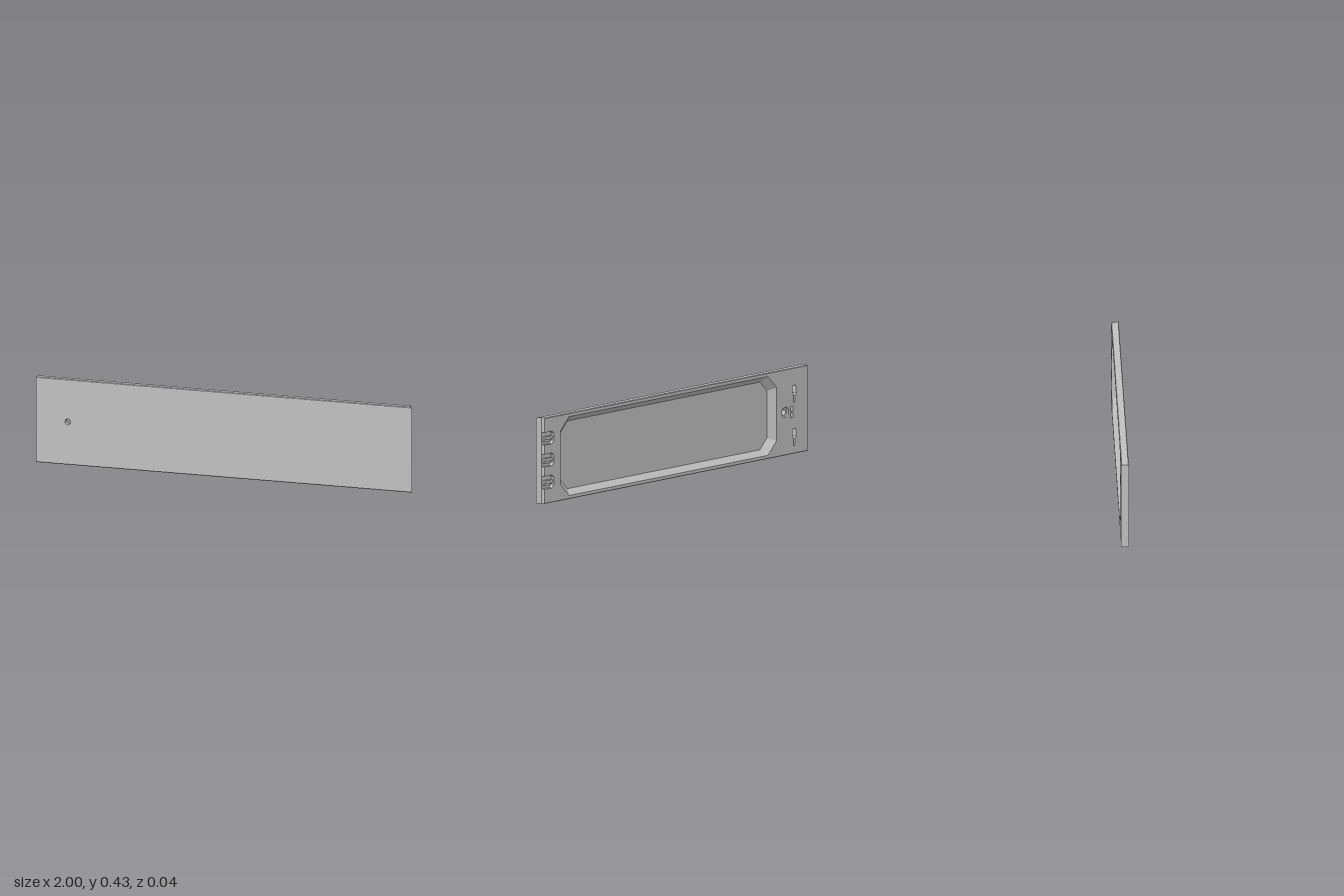
import * as THREE from 'three';

const H = 0.434, BACK = -0.019, FRONT = 0.019, STEP = 0, END = 0.98;
const NOTCHES = [[0.074, 0.139], [0.186, 0.25], [0.297, 0.36]];

const v2 = (list) => list.map(([x, y]) => new THREE.Vector2(x, y));

// Open notch in the left end, listed from bottom to top
const notch = ([y0, y1]) => [[END, y0], [0.925, y0], [0.91, y0 + 0.015], [0.91, y1 - 0.012], [0.922, y1], [END, y1]];

// Panel outlines, counter-clockwise seen from the front
const rect = (x0, y0, x1, y1) => v2([[x0, y0], [x1, y0], [x1, y1], [x0, y1]]);
const panel = (x1, inset) => rect(-1, inset, x1, H - inset);
const notched = (inset) => v2([[-1, inset], [END, inset], ...NOTCHES.flatMap(notch), [END, H - inset], [-1, H - inset]]);
const octagon = (x0, y0, x1, y1, c) => v2([
  [x0 + c, y0], [x1 - c, y0], [x1, y0 + c], [x1, y1 - c],
  [x1 - c, y1], [x0 + c, y1], [x0, y1 - c], [x0, y0 + c]]);
const circle = (x, y, r) => Array.from({ length: 24 }, (_, i) => {
  const a = (i / 24) * Math.PI * 2;
  return new THREE.Vector2(x + r * Math.cos(a), y + r * Math.sin(a));
});

// Walls through a stack of [outline, z] sections
function walls(sections, inward = false) {
  const pos = [];
  for (let s = 0; s + 1 < sections.length; s++) {
    const [a, z0] = sections[s], [b, z1] = sections[s + 1];
    a.forEach((p, i) => {
      const j = (i + 1) % a.length;
      const A = [p.x, p.y, z0], B = [a[j].x, a[j].y, z0];
      const C = [b[j].x, b[j].y, z1], D = [b[i].x, b[i].y, z1];
      pos.push(...(inward ? [A, C, B, A, D, C] : [A, B, C, A, C, D]).flat());
    });
  }
  const g = new THREE.BufferGeometry();
  g.setAttribute('position', new THREE.Float32BufferAttribute(pos, 3));
  g.computeVertexNormals();
  return g;
}

// Flat face with holes, looking to the front or to the back
function face(outline, z, holes = [], toBack = false) {
  const shape = new THREE.Shape(outline);
  holes.forEach((h) => shape.holes.push(new THREE.Path(h)));
  const g = new THREE.ShapeGeometry(shape);
  g.translate(0, 0, z);
  if (toBack) {
    const idx = g.index.array;
    for (let i = 0; i < idx.length; i += 3) [idx[i], idx[i + 1]] = [idx[i + 1], idx[i]];
    g.computeVertexNormals();
  }
  return g;
}

export function createModel() {
  const root = new THREE.Group();
  root.name = 'panel';
  const grey = new THREE.MeshStandardMaterial({ color: 0xc0c0c0 });
  grey.name = 'grey';
  const add = (name, geometry) => {
    const m = new THREE.Mesh(geometry, grey);
    m.name = name;
    root.add(m);
    return m;
  };

  // Blind pockets in the back: mouth, floor outline, floor height
  const recess = octagon(-0.765, 0.018, 0.86, 0.416, 0.065);
  const recessFloor = octagon(-0.725, 0.046, 0.827, 0.388, 0.052);
  const pockets = [['recess', recess, recessFloor, 0.011]];
  for (const y of [0.04, 0.26]) {
    const slot = v2([[-0.905, y], [-0.893, y], [-0.893, y + 0.035], [-0.886, y + 0.045],
      [-0.886, y + 0.085], [-0.912, y + 0.085], [-0.912, y + 0.045], [-0.905, y + 0.035]]);
    pockets.push(['hangingSlot', slot, slot, 0.005]);
  }
  for (const y of [0.184, 0.216]) {
    const clip = rect(-0.888, y, -0.868, y + 0.024);
    pockets.push(['clipSlot', clip, clip, 0]);
  }
  for (const [name, mouth, floor, z] of pockets) {
    add(name + 'Walls', walls([[mouth, BACK], [floor, z]], true));
    add(name + 'Floor', face(floor, z, [], true));
  }

  // Through hole with a counterbore on the back
  const bore = circle(-0.83, 0.218, 0.015), counterbore = circle(-0.83, 0.218, 0.026);
  add('hole', walls([[counterbore, BACK], [counterbore, -0.008], [bore, -0.008], [bore, FRONT]], true));

  // Outer skin with narrow chamfers and a flared left end
  add('frontFace', face(panel(1, 0.003), FRONT, [bore]));
  add('backFace', face(notched(0.003), BACK, [...pockets.map((p) => p[1]), counterbore], true));
  add('backRim', walls([[notched(0.003), BACK], [notched(0), BACK + 0.003], [notched(0), STEP]]));
  add('frontRim', walls([[panel(END, 0), STEP], [panel(0.997, 0), FRONT - 0.003], [panel(1, 0.003), FRONT]]));

  // Notch floors and the low ribs inside them
  for (const n of NOTCHES) {
    add('notchFloor', face(v2(notch(n)), STEP, [], true));
    const mid = (n[0] + n[1]) / 2;
    add('notchRib', new THREE.BoxGeometry(0.06, 0.016, 0.014)).position.set(0.94, mid, -0.007);
    add('notchStep', new THREE.BoxGeometry(0.05, 0.012, 0.006)).position.set(0.945, mid - 0.014, -0.003);
  }
  return root;
}
